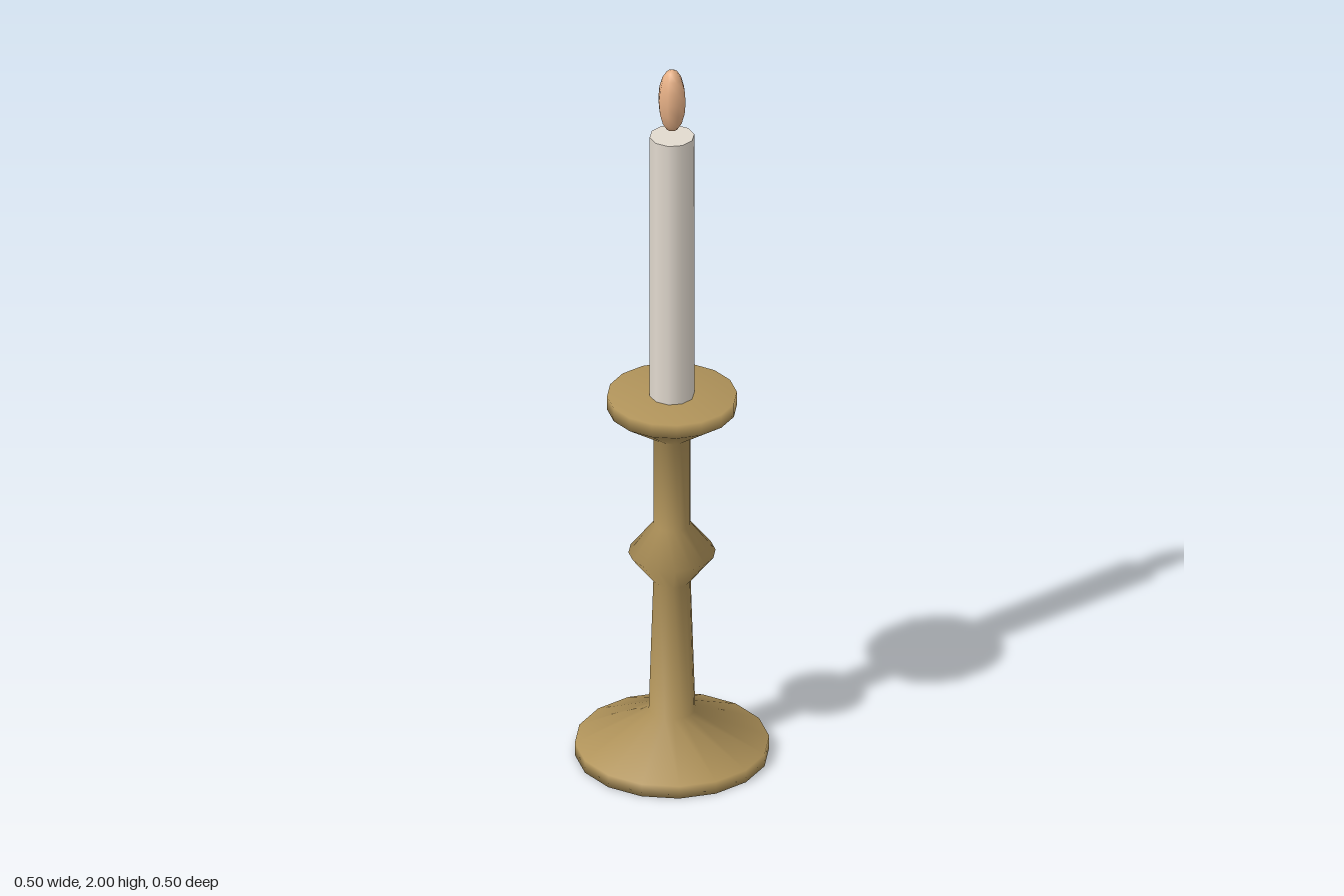
import * as THREE from 'three';

const brass = new THREE.MeshStandardMaterial({ name: 'brass', color: 0xb0935a });
const wax = new THREE.MeshStandardMaterial({ name: 'wax', color: 0xe2dacf });
const flameOrange = new THREE.MeshStandardMaterial({ name: 'flameOrange', color: 0xe6b086 });

export function createModel() {
  const model = new THREE.Group();
  model.name = 'candlestick';

  const add = (name, geometry, material, y = 0) => {
    const mesh = new THREE.Mesh(geometry, material);
    mesh.name = name;
    mesh.position.y = y;
    model.add(mesh);
    return mesh;
  };

  // Turned holder: foot, tapered stem, knop, neck and drip pan
  const profile = [
    [0, 0], [0.25, 0], [0.25, 0.035], [0.06, 0.127],
    [0.048, 0.505], [0.112, 0.588], [0.048, 0.67],
    [0.048, 0.927], [0.167, 1.01], [0.167, 1.048], [0, 1.048],
  ].map(([r, y]) => new THREE.Vector2(r, y));
  add('holder', new THREE.LatheGeometry(profile, 16), brass);

  // Ten-sided candle standing on the drip pan
  const bottom = 1.04, top = 1.806;
  add('candle', new THREE.CylinderGeometry(0.058, 0.058, top - bottom, 10), wax, (top + bottom) / 2);

  // Tall flame floating just above the candle
  add('flame', new THREE.SphereGeometry(1, 8, 8).scale(0.037, 0.09, 0.037), flameOrange, 1.91);

  return model;
}
